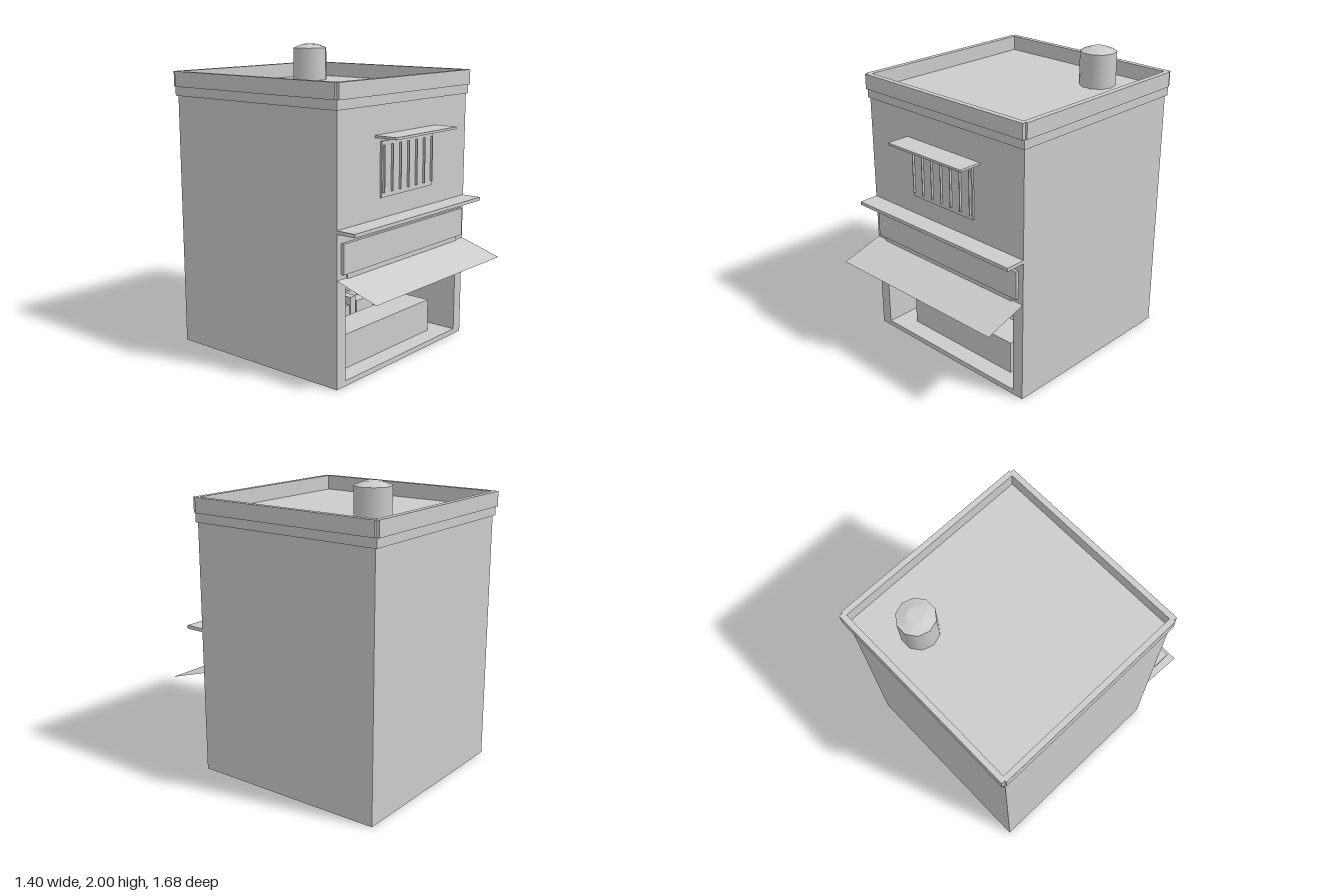
import * as THREE from 'three';

const grey = new THREE.MeshStandardMaterial({ color: 0xcccccc });
grey.name = 'plain grey';
const greyThin = grey.clone();
greyThin.name = 'plain grey sheet';
greyThin.side = THREE.DoubleSide;

export function createModel() {
  const model = new THREE.Group();
  model.name = 'kiosk';

  const add = (name, geometry, parent = model, material = grey) => {
    const mesh = new THREE.Mesh(geometry, material);
    mesh.name = name;
    parent.add(mesh);
    return mesh;
  };
  // Box given by its limits on each axis
  const box = (name, x0, x1, y0, y1, z0, z1, parent) => {
    const mesh = add(name, new THREE.BoxGeometry(x1 - x0, y1 - y0, z1 - z0), parent);
    mesh.position.set((x0 + x1) / 2, (y0 + y1) / 2, (z0 + z1) / 2);
    return mesh;
  };
  const rect = (Type, x0, x1, y0, y1) => new Type([
    new THREE.Vector2(x0, y0), new THREE.Vector2(x1, y0),
    new THREE.Vector2(x1, y1), new THREE.Vector2(x0, y1),
  ]);

  // Main body: solid rear, and a front shell with the shop opening
  const back = -0.81, front = 0.545, roomBack = 0;
  box('rearBody', -0.68, 0.68, 0, 1.69, back, roomBack);
  const facade = rect(THREE.Shape, -0.68, 0.68, 0, 1.69);
  facade.holes.push(rect(THREE.Path, -0.6, 0.6, 0.035, 0.68));
  add('frontBody', new THREE.ExtrudeGeometry(facade, { depth: front - roomBack, bevelEnabled: false }))
    .position.z = roomBack;

  // Roof slab and parapet with notched corners
  box('roofSlab', -0.69, 0.69, 1.69, 1.75, -0.825, 0.555);
  const px = 0.7, pz = 0.705, n = 0.012, centreZ = -0.135;
  const outline = [];
  for (const [sx, sz] of [[1, 1], [-1, 1], [-1, -1], [1, -1]]) {
    const corner = [[px, pz - 2 * n], [px - n, pz - 2 * n], [px - n, pz]];
    if (sx * sz < 0) corner.reverse();
    corner.forEach(([x, z]) => outline.push(new THREE.Vector2(sx * x, sz * z)));
  }
  const parapet = new THREE.Shape(outline);
  parapet.holes.push(rect(THREE.Path, -0.663, 0.663, -0.668, 0.668));
  const parapetGeometry = new THREE.ExtrudeGeometry(parapet, { depth: 0.1, bevelEnabled: false });
  parapetGeometry.rotateX(-Math.PI / 2);
  add('parapet', parapetGeometry).position.set(0, 1.75, centreZ);

  // Ten-sided roof vent with a sloping cap
  const vent = new THREE.Group();
  vent.name = 'roofVent';
  vent.position.set(0.325, 0, -0.545);
  vent.rotation.y = Math.PI / 10;
  model.add(vent);
  add('ventPipe', new THREE.CylinderGeometry(0.12, 0.12, 0.225, 10), vent).position.y = 1.8625;
  add('ventCap', new THREE.CylinderGeometry(0.055, 0.12, 0.025, 10), vent).position.y = 1.9875;

  // Upper window with bars and a canopy
  box('windowPanel', -0.27, 0.27, 1.12, 1.47, front - 0.01, 0.557);
  for (let i = -3; i <= 3; i++) {
    const x = i * 0.085;
    box('windowBar', x - 0.003, x + 0.003, 1.15, 1.445, 0.55, 0.572);
  }
  box('windowCanopy', -0.325, 0.325, 1.495, 1.51, front - 0.01, 0.705);

  // Ledge, sign board and shutter housing
  box('ledge', -0.68, 0.68, 0.967, 0.99, front - 0.01, 0.68);
  box('signBoard', -0.64, 0.64, 0.715, 0.905, front - 0.01, 0.566);
  box('shutterHousing', -0.592, 0.592, 0.63, 0.72, front - 0.03, 0.555);

  // Sloping sheet awning
  const drop = 0.09, reach = 0.84 - front;
  const awning = add('awning', new THREE.PlaneGeometry(1.36, Math.hypot(drop, reach)), model, greyThin);
  awning.position.set(0, 0.64, (front + 0.84) / 2);
  awning.rotation.x = -Math.atan2(reach, drop);

  // Shop interior
  box('counter', -0.46, 0.46, 0.035, 0.26, 0.2, 0.42);
  box('lowCabinet', -0.6, 0.6, 0.035, 0.2, roomBack, 0.13);
  for (const y of [0.2, 0.39, 0.585]) box('shelf', -0.6, 0.6, y, y + 0.012, roomBack, 0.14);

  // Goods on a shelf: [centre x, width, top y]
  const stock = (base, goods) => goods.forEach(([x, w, top]) =>
    box('goods', x - w / 2, x + w / 2, base, top, 0.03, 0.12));
  stock(0.402, [
    [-0.56, 0.085, 0.49], [-0.5, 0.03, 0.46], [-0.435, 0.065, 0.53], [-0.345, 0.09, 0.46],
    [-0.25, 0.085, 0.46], [-0.15, 0.07, 0.53], [-0.06, 0.08, 0.48], [0.03, 0.075, 0.46],
    [0.105, 0.055, 0.52], [0.165, 0.055, 0.46], [0.23, 0.06, 0.5], [0.32, 0.105, 0.51],
    [0.435, 0.095, 0.48], [0.55, 0.09, 0.49],
  ]);
  stock(0.212, [
    [-0.555, 0.085, 0.3], [-0.545, 0.048, 0.325], [-0.445, 0.08, 0.28], [-0.355, 0.07, 0.305],
    [-0.267, 0.085, 0.31], [-0.177, 0.075, 0.27], [-0.08, 0.08, 0.285], [0, 0.058, 0.335],
    [0.092, 0.105, 0.295], [0.185, 0.08, 0.3], [0.278, 0.085, 0.28], [0.378, 0.105, 0.285],
    [0.47, 0.06, 0.28], [0.555, 0.08, 0.3], [0.56, 0.053, 0.325],
  ]);
  // Packets hanging from the top shelf
  for (let i = 0; i < 10; i++) {
    const x = -0.515 + i * 0.1145;
    box('hangingPacket', x - 0.032, x + 0.032, 0.505, 0.585, 0.125, 0.14);
  }
  return model;
}
